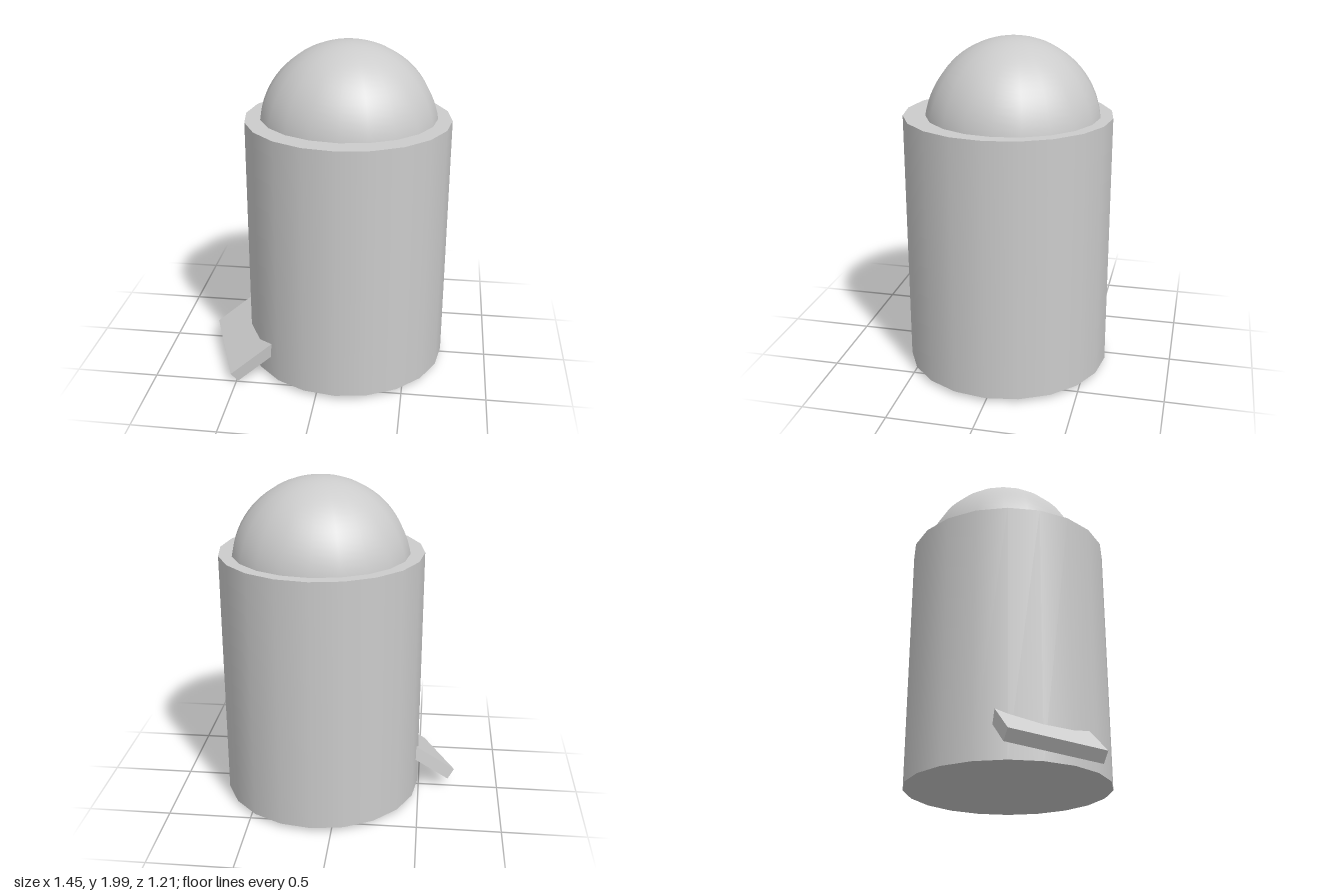
import * as THREE from 'three';

const material = new THREE.MeshStandardMaterial({ color: 0xcccccc });

function part(name, geometry) {
  const mesh = new THREE.Mesh(geometry, material);
  mesh.name = name;
  return mesh;
}

export function createModel() {
  const group = new THREE.Group();

  // upright drum
  const body = part('body', new THREE.CylinderGeometry(0.607, 0.607, 1.525, 20));
  body.position.set(0.115, 0.793, 0);
  group.add(body);

  // rounded cap sunk slightly into the drum's top
  const dome = part('dome', new THREE.SphereGeometry(0.53, 20, 20, 0, Math.PI * 2, 0, Math.PI / 2));
  dome.scale.z = 0.965;
  dome.position.set(0.115, 1.47, -0.03);
  group.add(dome);

  // sloping plate at the foot, running up into the drum
  const length = 0.55, thickness = 0.074, width = 0.554;
  const across = new THREE.Vector3(0.195, -0.06, 0.515).normalize();
  const inward = new THREE.Vector3(0.24, 0.185, -0.07);
  inward.addScaledVector(across, -inward.dot(across)).normalize();
  const up = across.clone().cross(inward);
  const plate = part('footPlate', new THREE.BoxGeometry(length, thickness, width));
  plate.quaternion.setFromRotationMatrix(new THREE.Matrix4().makeBasis(inward, up, across));
  plate.position.set(-0.627, 0.096, 0.258)
    .addScaledVector(inward, length / 2)
    .addScaledVector(up, -thickness / 2);
  group.add(plate);

  return group;
}
